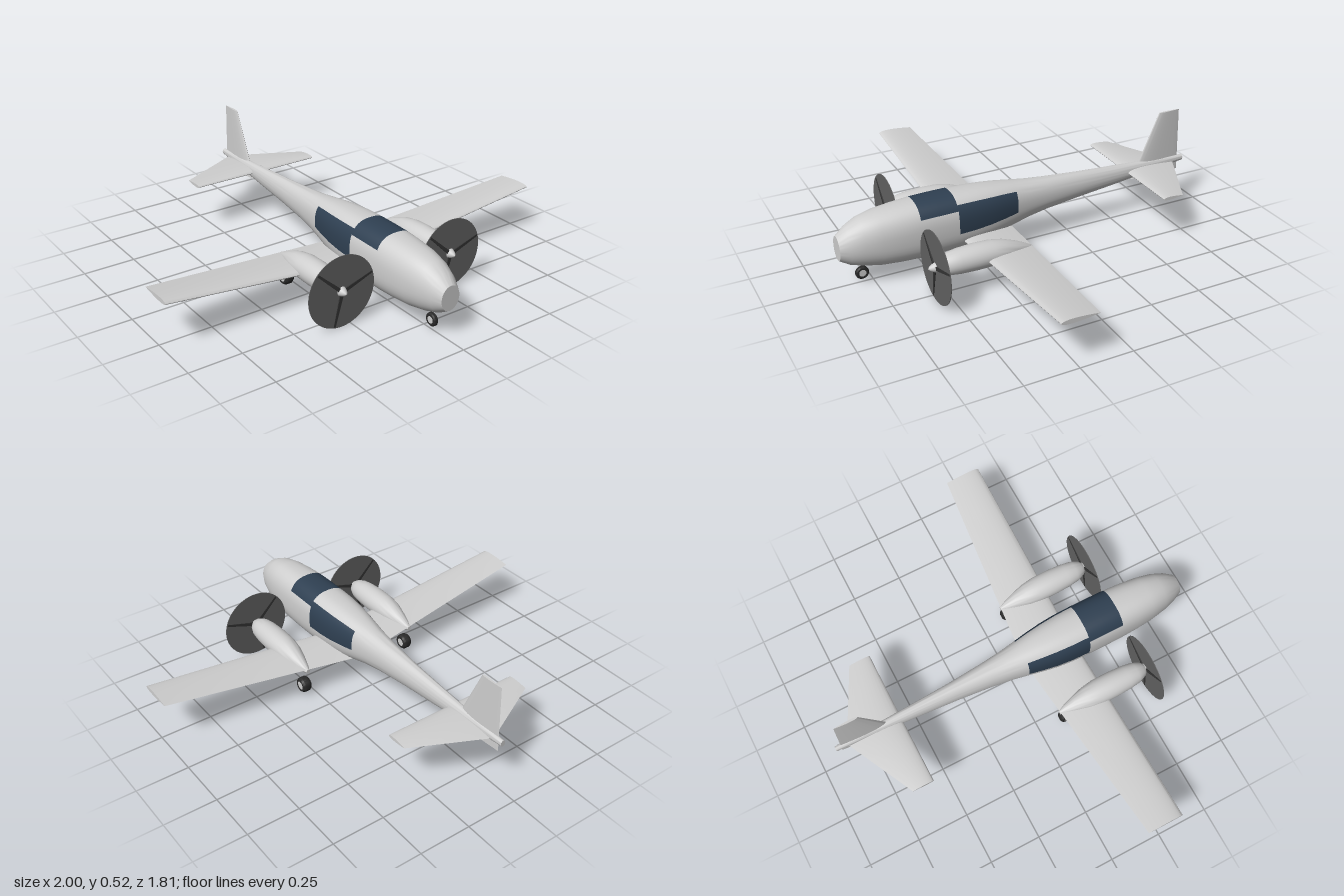
import * as THREE from 'three';
import { toCreasedNormals } from 'three/addons/utils/BufferGeometryUtils.js';

const material = (name, color) => {
  const m = new THREE.MeshStandardMaterial({ color });
  m.name = name;
  return m;
};

// Skin a row of closed rings and cap both ends; pick(i, j) chooses material 0 or 1
function loft(rings, pick = () => 0) {
  const n = rings[0].length;
  const pos = rings.flat(2);
  const faces = [[], []];
  for (let i = 0; i < rings.length - 1; i++) {
    for (let j = 0; j < n; j++) {
      const a = i * n + j, b = i * n + (j + 1) % n, c = a + n, d = b + n;
      faces[pick(i, j)].push(a, c, b, b, c, d);
    }
  }
  [0, rings.length - 1].forEach((r, end) => {
    const centre = pos.length / 3;
    for (let k = 0; k < 3; k++) pos.push(rings[r].reduce((s, p) => s + p[k], 0) / n);
    for (let j = 0; j < n; j++) {
      const a = r * n + j, b = r * n + (j + 1) % n;
      faces[0].push(centre, ...(end ? [b, a] : [a, b]));
    }
  });
  const g = new THREE.BufferGeometry();
  g.setAttribute('position', new THREE.Float32BufferAttribute(pos, 3));
  g.setIndex([...faces[0], ...faces[1]]);
  g.addGroup(0, faces[0].length, 0);
  g.addGroup(faces[0].length, faces[1].length, 1);
  return toCreasedNormals(g, 0.7);
}

// Rounded cross-section for a body running along z
function bodyRing([z, top, bottom, half, power = 2], segments, x0 = 0) {
  const bend = v => Math.sign(v) * Math.abs(v) ** (2 / power);
  return Array.from({ length: segments }, (_, j) => {
    const a = j / segments * Math.PI * 2;
    return [x0 + half * bend(Math.cos(a)),
      (top + bottom) / 2 + (top - bottom) / 2 * bend(Math.sin(a)), z];
  });
}

// Airfoil section: span position, leading z, trailing z, thickness; place() maps (z, offset) to a point
function foilRing(lead, trail, thick, place) {
  const n = 28;
  return Array.from({ length: n }, (_, j) => {
    const a = j / n * Math.PI * 2;
    const t = (1 + Math.cos(a)) / 2;
    const h = thick * (1.4845 * Math.sqrt(t) - 0.63 * t - 1.758 * t ** 2 + 1.4215 * t ** 3 - 0.5075 * t ** 4);
    return place(lead + (trail - lead) * t, Math.sin(a) < 0 ? -h : h);
  });
}

export function createModel() {
  const model = new THREE.Group();
  model.name = 'twinPropellerAircraft';
  const paint = material('paint', 0xcfcfcf);
  const glass = material('glass', 0x2f4052);
  const discGrey = material('discGrey', 0x626262);
  const bladeDark = material('bladeDark', 0x343434);
  const tyreBlack = material('tyreBlack', 0x2a2a2a);

  const add = (parent, name, geometry, mat, x = 0, y = 0, z = 0) => {
    const mesh = new THREE.Mesh(geometry, mat);
    mesh.name = name;
    mesh.position.set(x, y, z);
    parent.add(mesh);
    return mesh;
  };

  // Fuselage stations: z, top, bottom, half width, squareness
  const stations = [
    [0.905, 0.257, 0.14, 0.048, 2], [0.86, 0.295, 0.113, 0.071, 2.1],
    [0.8, 0.325, 0.095, 0.089, 2.2], [0.72, 0.341, 0.082, 0.102, 2.4],
    [0.63, 0.349, 0.076, 0.109, 2.5], [0.545, 0.354, 0.074, 0.112, 2.6],
    [0.455, 0.356, 0.074, 0.113, 2.6], [0.365, 0.356, 0.077, 0.113, 2.6],
    [0.28, 0.354, 0.082, 0.111, 2.6], [0.2, 0.35, 0.09, 0.105, 2.5],
    [0.125, 0.343, 0.105, 0.094, 2.5], [0.055, 0.334, 0.121, 0.082, 2.4],
    [-0.02, 0.324, 0.137, 0.07, 2.3], [-0.12, 0.315, 0.152, 0.058, 2.2],
    [-0.3, 0.303, 0.17, 0.043, 2], [-0.5, 0.291, 0.19, 0.031, 2],
    [-0.75, 0.276, 0.219, 0.018, 2], [-0.905, 0.268, 0.238, 0.012, 2],
  ];
  const isGlass = (i, j) => {
    const z = (stations[i][0] + stations[i + 1][0]) / 2;
    if (z < 0.545 && z > 0.365) return j >= 4 && j < 20 ? 1 : 0; // windscreen over the roof
    if (z < 0.365 && z > 0.055) return j < 6 || j === 47 || (j >= 18 && j < 25) ? 1 : 0; // side windows
    return 0;
  };
  add(model, 'fuselage', loft(stations.map(s => bodyRing(s, 48)), isGlass), [paint, glass]);

  // Wing with dihedral, from left tip to right tip
  const wing = [[1, 0.165], [0, 0.075], [-1, 0.165]].map(([x, trail]) =>
    foilRing(0.34, trail, 0.036 - 0.014 * Math.abs(x), (z, h) => [x, 0.128 + 0.109 * Math.abs(x) + h, z]));
  add(model, 'wing', loft(wing), paint);

  // Tailplane and fin
  const tailplane = [[0.34, -0.68], [0, -0.85], [-0.34, -0.68]].map(([x, trail]) =>
    foilRing(-0.575, trail, x ? 0.016 : 0.03, (z, h) => [x, 0.245 + h, z]));
  add(model, 'tailplane', loft(tailplane), paint);
  const fin = [[0.52, -0.755, -0.87, 0.011], [0.195, -0.61, -0.88, 0.022]].map(([y, lead, trail, thick]) =>
    foilRing(lead, trail, thick, (z, h) => [-h, y, z]));
  add(model, 'fin', loft(fin), paint);

  // Engines
  const nacelle = [
    [0.56, 0.195, 0.149, 0.023], [0.545, 0.209, 0.137, 0.037], [0.51, 0.224, 0.124, 0.051],
    [0.46, 0.232, 0.118, 0.058], [0.38, 0.236, 0.115, 0.062], [0.3, 0.233, 0.116, 0.061],
    [0.24, 0.222, 0.119, 0.053], [0.18, 0.201, 0.126, 0.037], [0.13, 0.178, 0.135, 0.021],
    [0.1, 0.161, 0.141, 0.01],
  ];
  const spinner = new THREE.LatheGeometry(
    [[0.024, 0], [0.023, 0.01], [0.017, 0.025], [0.009, 0.038], [0, 0.045]].map(p => new THREE.Vector2(...p)), 24)
    .rotateX(Math.PI / 2);
  const disc = new THREE.CylinderGeometry(0.169, 0.169, 0.003, 64).rotateX(Math.PI / 2);

  // Blade tapering towards its tip
  const blade = new THREE.BoxGeometry(0.165, 0.018, 0.016, 4, 1, 1).translate(0.0825, 0, 0);
  const bp = blade.attributes.position;
  for (let i = 0; i < bp.count; i++) {
    const t = bp.getX(i) / 0.165;
    bp.setY(i, bp.getY(i) * (1 - 0.45 * t));
    bp.setZ(i, bp.getZ(i) * (1 - 0.7 * t));
  }
  blade.computeVertexNormals();

  for (const side of [1, -1]) {
    const engine = new THREE.Group();
    engine.name = side > 0 ? 'leftEngine' : 'rightEngine';
    model.add(engine);
    const x = side * 0.3;
    add(engine, 'nacelle', loft(nacelle.map(s => bodyRing(s, 32, x))), paint);
    add(engine, 'spinner', spinner, paint, x, 0.172, 0.555);
    add(engine, 'propellerDisc', disc, discGrey, x, 0.17, 0.565);
    for (let k = 0; k < 3; k++) {
      add(engine, 'propellerBlade', blade, bladeDark, x, 0.17, 0.565)
        .rotation.z = 0.3 + k * Math.PI * 2 / 3;
    }
  }

  // Wheels: rounded tyre with a pale hub
  const addWheel = (name, r, w, x, y, z) => {
    const wheel = new THREE.Group();
    wheel.name = name;
    wheel.position.set(x, y, z);
    model.add(wheel);
    const h = w / 2;
    const profile = [[0.55 * r, -h], [0.82 * r, -h], [r, -0.55 * h], [r, 0.55 * h], [0.82 * r, h], [0.55 * r, h], [0.55 * r, -h]];
    const tyre = new THREE.LatheGeometry(profile.map(p => new THREE.Vector2(...p)), 28).rotateZ(Math.PI / 2);
    add(wheel, 'tyre', toCreasedNormals(tyre, 0.6), tyreBlack);
    add(wheel, 'hub', new THREE.CylinderGeometry(0.56 * r, 0.56 * r, w * 0.96, 24).rotateZ(Math.PI / 2), paint);
  };
  addWheel('noseWheel', 0.031, 0.022, 0, 0.049, 0.8);
  addWheel('leftMainWheel', 0.037, 0.045, 0.3, 0.055, 0.14);
  addWheel('rightMainWheel', 0.037, 0.045, -0.3, 0.055, 0.14);

  return model;
}
